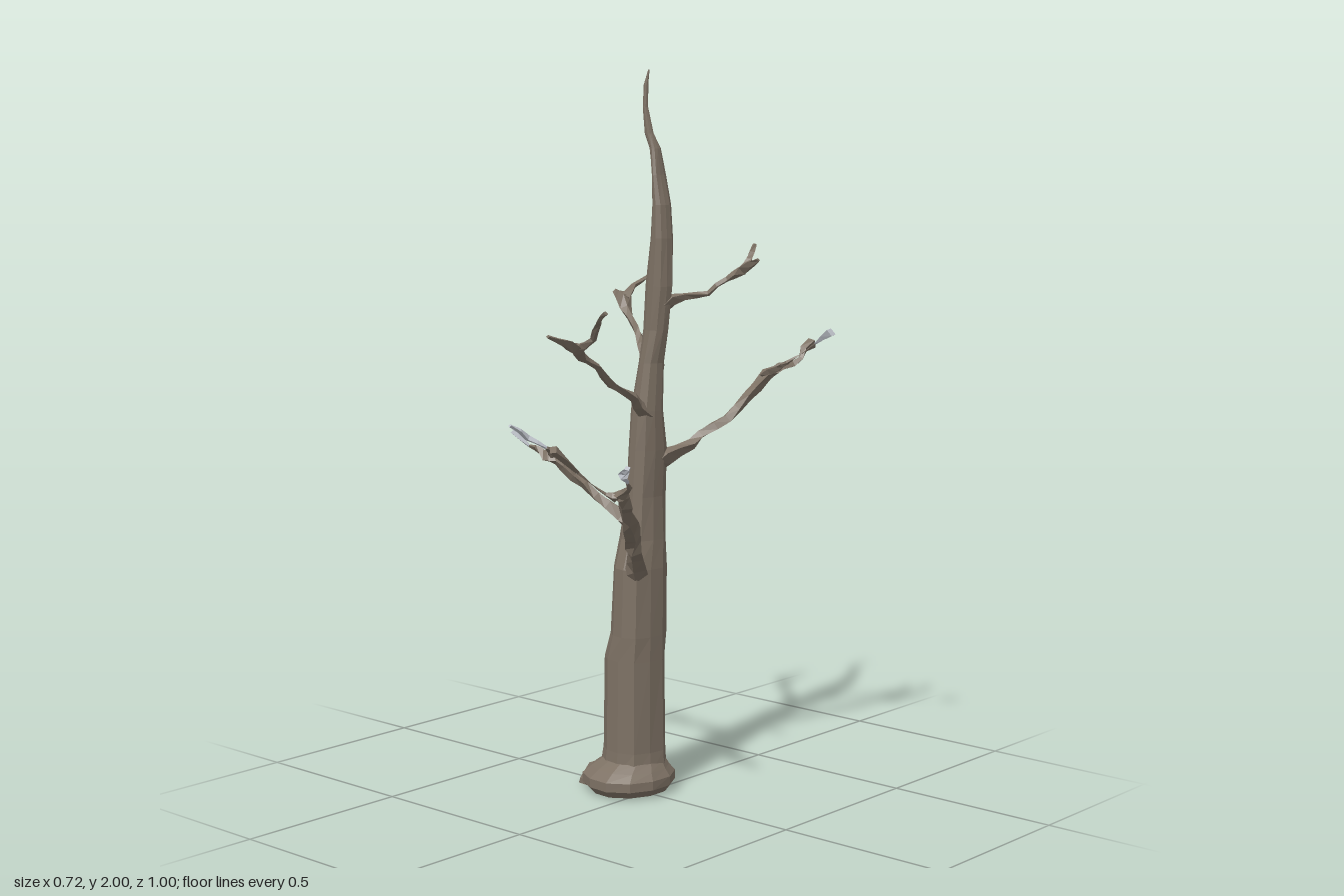
import * as THREE from 'three';

const bark = new THREE.MeshStandardMaterial({ color: 0x7d7164 });
bark.name = 'bark';
const paleWood = new THREE.MeshStandardMaterial({ color: 0xc6cad2 });
paleWood.name = 'paleWood';

// Small seeded generator for the crooked growth, from -1 to 1
let seed = 7;
const wobble = () => {
  seed = (seed * 16807) % 2147483647;
  return (seed / 2147483647) * 2 - 1;
};

// Skin a list of rings (equal point counts) and close both ends
function loft(name, rings, material) {
  const pos = [];
  const tri = (...p) => p.forEach((v) => pos.push(v.x, v.y, v.z));
  const n = rings[0].length;
  const middle = (ring) => ring.reduce((s, p) => s.add(p), new THREE.Vector3()).divideScalar(n);
  const first = rings[0], last = rings[rings.length - 1];
  const c0 = middle(first), c1 = middle(last);
  for (let j = 0; j < n; j++) {
    const k = (j + 1) % n;
    for (let i = 0; i < rings.length - 1; i++) {
      const a = rings[i][j], b = rings[i][k], c = rings[i + 1][k], d = rings[i + 1][j];
      tri(a, d, b);
      tri(b, d, c);
    }
    tri(c0, first[j], first[k]);
    tri(c1, last[k], last[j]);
  }
  const geo = new THREE.BufferGeometry();
  geo.setAttribute('position', new THREE.Float32BufferAttribute(pos, 3));
  geo.computeVertexNormals();
  const mesh = new THREE.Mesh(geo, material);
  mesh.name = name;
  return mesh;
}

// Upright stack of ellipses: [y, xMin, xMax, zMin, zMax]
function stack(name, levels, sides, rough) {
  const lumps = Array.from({ length: sides }, () => 1 + wobble() * rough);
  const rings = levels.map(([y, x0, x1, z0, z1]) => lumps.map((l, j) => {
    const a = ((j + 0.5) / sides) * Math.PI * 2;
    const r = l * (1 + wobble() * rough * 0.4) * 1.02;
    return new THREE.Vector3((x0 + x1) / 2 + Math.cos(a) * r * (x1 - x0) / 2, y,
      (z0 + z1) / 2 + Math.sin(a) * r * (z1 - z0) / 2);
  }));
  return loft(name, rings, bark);
}

// Crooked, twisting four-sided limb: points are [x, y, z, radius]
function limb(name, points, material = bark, crook = 0.007) {
  const path = [];
  points.forEach((p, i) => {
    path.push(p);
    const q = points[i + 1];
    if (q) path.push(p.map((v, c) => (v + q[c]) / 2 + (c < 3 ? wobble() * crook : 0)));
  });
  const at = path.map((p) => new THREE.Vector3(p[0], p[1], p[2]));
  const rings = path.map((p, i) => {
    const t = at[Math.min(i + 1, at.length - 1)].clone().sub(at[Math.max(i - 1, 0)]).normalize();
    const u = new THREE.Vector3(-t.z, 0, t.x).normalize();
    const v = u.clone().cross(t);
    const twist = Math.sin(i * 0.9) * 0.5;
    return [0, 1, 2, 3].map((j) => {
      const a = (j * Math.PI) / 2;
      const w = Math.cos(a) * p[3], h = Math.sin(a) * p[3] * 0.75;
      return at[i].clone()
        .addScaledVector(u, w * Math.cos(twist) - h * Math.sin(twist))
        .addScaledVector(v, w * Math.sin(twist) + h * Math.cos(twist));
    });
  });
  return loft(name, rings, material);
}

export function createModel() {
  seed = 7;
  const tree = new THREE.Group();
  tree.name = 'deadTree';

  // Trunk, leaning and narrowing to a bent whip at the top
  tree.add(stack('trunk', [
    [0.06, -0.15, 0.035, -0.1, 0.075], [0.12, -0.14, 0.03, -0.1, 0.07],
    [0.38, -0.135, 0.03, -0.095, 0.07], [0.45, -0.11, 0.03, -0.095, 0.068],
    [0.64, -0.1, 0.03, -0.095, 0.065], [0.72, -0.095, 0.025, -0.092, 0.04],
    [0.84, -0.07, 0.022, -0.09, 0.035], [0.97, -0.065, 0.028, -0.085, 0.03],
    [1.08, -0.055, 0.03, -0.062, 0.025], [1.21, -0.035, 0.03, -0.06, 0.01],
    [1.3, -0.025, 0.045, -0.062, 0], [1.42, -0.018, 0.06, -0.062, 0],
    [1.55, 0.003, 0.06, -0.06, 0], [1.64, 0.008, 0.053, -0.058, -0.002],
    [1.72, 0.008, 0.033, -0.055, -0.005], [1.79, -0.005, 0.022, -0.045, -0.012],
    [1.83, -0.02, 0.006, -0.032, -0.012], [1.9, -0.025, -0.01, -0.025, -0.012],
    [1.96, -0.023, -0.01, -0.025, -0.014], [2, -0.01, -0.006, -0.023, -0.02],
  ], 11, 0.04));

  // Swollen foot and the flat root on one side
  tree.add(stack('foot', [
    [0.005, -0.165, 0.045, -0.12, 0.115], [0.025, -0.185, 0.06, -0.135, 0.132],
    [0.05, -0.185, 0.06, -0.135, 0.132], [0.07, -0.165, 0.045, -0.115, 0.105],
    [0.09, -0.14, 0.03, -0.1, 0.072],
  ], 12, 0.02));
  const root = [[0, -0.205, 0.075], [0.015, -0.2, 0.075], [0.06, -0.18, 0.055]];
  tree.add(loft('root', root.map(([y, x, w]) => [[-0.08, -w], [-0.08, w], [x, w * 0.85], [x, -w]]
    .map(([px, pz]) => new THREE.Vector3(px, y, pz - 0.008))), bark));

  // Low branch, front left side of the trunk
  tree.add(limb('lowFrontBranch', [
    [-0.01, 0.62, 0.03, 0.035], [0.035, 0.69, 0.08, 0.026], [0.07, 0.74, 0.13, 0.022],
    [0.12, 0.79, 0.19, 0.024], [0.16, 0.86, 0.26, 0.02], [0.185, 0.905, 0.305, 0.026],
    [0.225, 0.925, 0.325, 0.012], [0.25, 0.95, 0.35, 0.004]]));
  tree.add(limb('lowFrontTip', [[0.25, 0.95, 0.35, 0.004], [0.27, 0.975, 0.39, 0.014],
    [0.295, 1, 0.4, 0.01]], paleWood, 0.002));
  tree.add(limb('lowFrontTwig', [[0.175, 0.9, 0.31, 0.02], [0.16, 0.91, 0.335, 0.006],
    [0.14, 0.94, 0.37, 0.001], [0.122, 0.97, 0.4, 0.007], [0.122, 1.04, 0.49, 0.017]], bark, 0.001));

  // Branch on the right side, forked
  tree.add(limb('rightFrontBranch', [
    [-0.05, 0.76, 0, 0.035], [-0.11, 0.81, 0.035, 0.02], [-0.17, 0.865, 0.065, 0.016],
    [-0.22, 0.91, 0.095, 0.018], [-0.255, 0.94, 0.11, 0.026], [-0.285, 0.95, 0.115, 0.015],
    [-0.315, 0.965, 0.135, 0.005]]));
  tree.add(limb('rightFrontTip', [[-0.315, 0.965, 0.135, 0.005], [-0.35, 1.01, 0.16, 0.018]],
    paleWood, 0.001));
  tree.add(limb('rightFrontTwig', [[-0.245, 0.94, 0.11, 0.018], [-0.235, 0.97, 0.15, 0.006]]));
  tree.add(limb('rightFrontTwigTip', [[-0.235, 0.97, 0.15, 0.006], [-0.262, 1, 0.195, 0.012],
    [-0.265, 1.04, 0.26, 0.006]], paleWood, 0.003));

  // Long middle branch to the front, forked
  tree.add(limb('middleFrontBranch', [
    [-0.01, 1.06, -0.02, 0.035], [0.005, 1.1, 0.04, 0.022], [0.012, 1.14, 0.1, 0.014],
    [0.012, 1.19, 0.18, 0.012], [0.018, 1.24, 0.25, 0.012], [0.035, 1.275, 0.31, 0.024],
    [0.05, 1.295, 0.36, 0.016], [0.052, 1.32, 0.435, 0.006]], bark, 0.005));
  tree.add(limb('middleFrontTwig', [[0.04, 1.275, 0.31, 0.02], [0.09, 1.305, 0.305, 0.009],
    [0.14, 1.35, 0.34, 0.009], [0.165, 1.36, 0.365, 0.008], [0.195, 1.385, 0.37, 0.008]], bark, 0.003));

  // Long back branch, forked
  tree.add(limb('backBranch', [
    [-0.01, 0.93, -0.05, 0.04], [0.03, 0.96, -0.1, 0.024], [0.05, 1, -0.17, 0.018],
    [0.09, 1.04, -0.24, 0.018], [0.12, 1.1, -0.29, 0.019], [0.145, 1.16, -0.345, 0.024],
    [0.16, 1.18, -0.39, 0.017], [0.188, 1.2, -0.445, 0.009], [0.192, 1.24, -0.49, 0.022]]));
  tree.add(limb('backTwig', [[0.14, 1.16, -0.34, 0.02], [0.19, 1.18, -0.338, 0.011],
    [0.225, 1.2, -0.335, 0.008], [0.26, 1.225, -0.355, 0.001], [0.295, 1.255, -0.37, 0.004]], bark, 0.001));
  tree.add(limb('backTwigTip', [[0.295, 1.255, -0.37, 0.004], [0.35, 1.29, -0.37, 0.017]],
    paleWood, 0.001));

  // Upper branches, one to each side, forked
  tree.add(limb('upperLeftBranch', [
    [0.03, 1.37, -0.04, 0.03], [0.07, 1.39, -0.08, 0.014], [0.125, 1.4, -0.115, 0.01],
    [0.17, 1.44, -0.14, 0.01], [0.205, 1.465, -0.165, 0.02], [0.262, 1.495, -0.16, 0.007]], bark, 0.004));
  tree.add(limb('upperLeftTwig', [[0.2, 1.46, -0.165, 0.018], [0.205, 1.49, -0.19, 0.013],
    [0.192, 1.53, -0.23, 0.006]], bark, 0.004));
  tree.add(limb('upperRightBranch', [
    [0, 1.2, -0.03, 0.035], [-0.05, 1.235, -0.06, 0.022], [-0.1, 1.27, -0.085, 0.013],
    [-0.15, 1.32, -0.1, 0.013], [-0.19, 1.37, -0.12, 0.022], [-0.23, 1.385, -0.13, 0.01]], bark, 0.004));
  tree.add(limb('upperRightTwig', [[-0.19, 1.37, -0.12, 0.02], [-0.198, 1.4, -0.17, 0.01],
    [-0.195, 1.425, -0.23, 0.007]], bark, 0.004));

  return tree;
}
